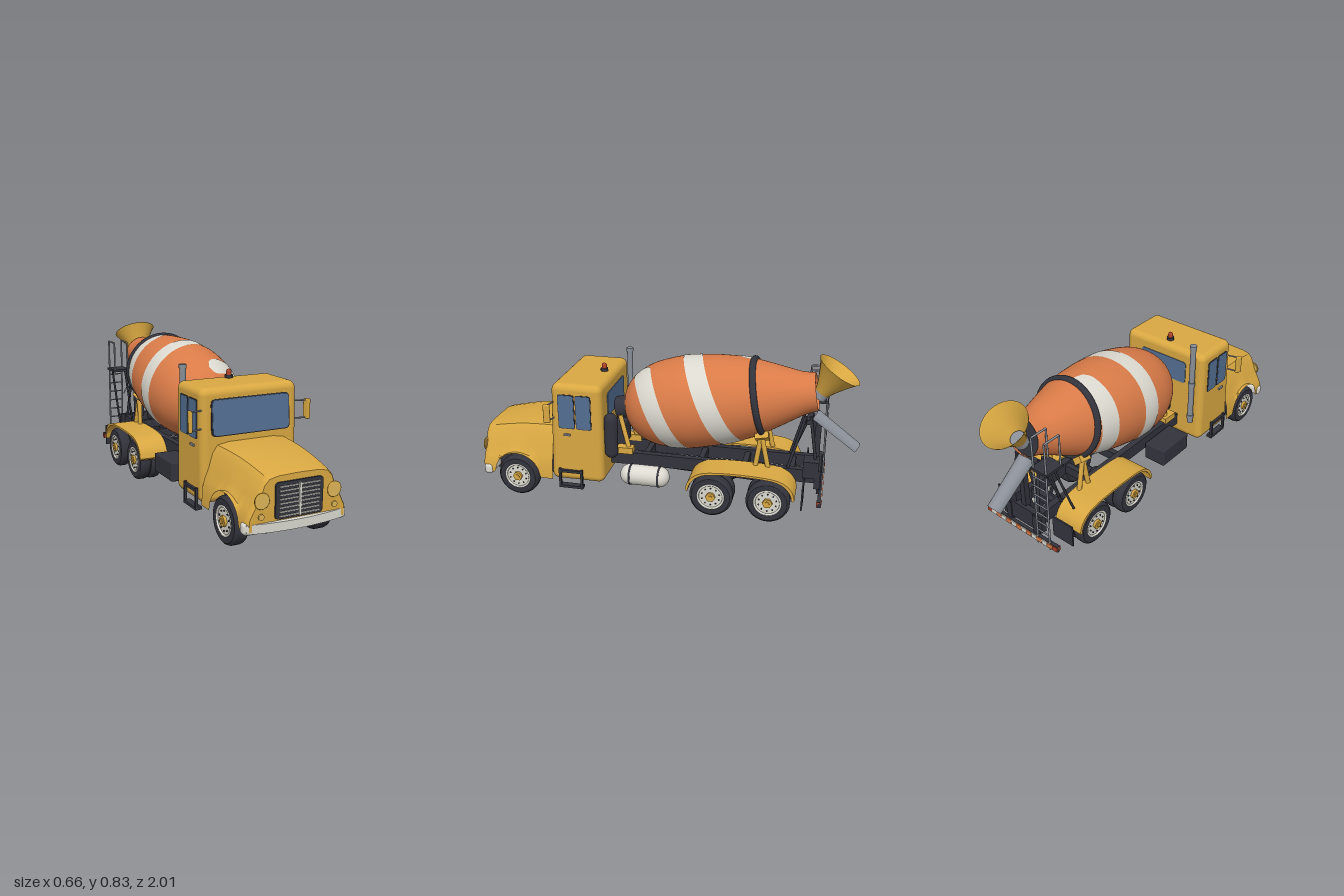
import * as THREE from 'three';
import { toCreasedNormals } from 'three/addons/utils/BufferGeometryUtils.js';
import { RoundedBoxGeometry } from 'three/addons/geometries/RoundedBoxGeometry.js';

const mat = (name, color, side = THREE.FrontSide) => {
  const m = new THREE.MeshStandardMaterial({ color, side });
  m.name = name;
  return m;
};

export function createModel() {
  const root = new THREE.Group();
  root.name = 'mixerTruck';
  const yellow = mat('yellow paint', 0xd9a842, THREE.DoubleSide);
  const orange = mat('orange drum', 0xd97b48, THREE.DoubleSide);
  const white = mat('off white', 0xdcdad0);
  const dark = mat('dark metal', 0x33333d);
  const glass = mat('blue glass', 0x536f92);
  const grey = mat('grey steel', 0x8a8f98, THREE.DoubleSide);
  const red = mat('red lamp', 0xb0452c);
  const lamp = mat('pale yellow lamp', 0xdfb658);

  const add = (name, geo, material, p = [0, 0, 0], r = [0, 0, 0], parent = root) => {
    const m = new THREE.Mesh(geo, material);
    m.name = name;
    m.position.set(...p);
    m.rotation.set(...r);
    parent.add(m);
    return m;
  };
  const box = (name, size, material, p, r, round = 0) =>
    add(name, round ? new RoundedBoxGeometry(...size, 3, round) : new THREE.BoxGeometry(...size), material, p, r);
  const cyl = (r, h, n = 24) => new THREE.CylinderGeometry(r, r, h, n);
  // Round bar between two points
  const bar = (name, a, b, r, material) => {
    const A = new THREE.Vector3(...a), d = new THREE.Vector3(...b).sub(A);
    const m = add(name, cyl(r, d.length(), 10), material, A.clone().addScaledVector(d, 0.5).toArray());
    m.quaternion.setFromUnitVectors(new THREE.Vector3(0, 1, 0), d.normalize());
  };
  // Thin plate with rounded corners, facing +z
  const plate = (w, h, r, depth = 0.006) => {
    const s = new THREE.Shape(), x = w / 2, y = h / 2;
    s.moveTo(-x + r, -y).lineTo(x - r, -y).quadraticCurveTo(x, -y, x, -y + r).lineTo(x, y - r);
    s.quadraticCurveTo(x, y, x - r, y).lineTo(-x + r, y).quadraticCurveTo(-x, y, -x, y - r);
    s.lineTo(-x, -y + r).quadraticCurveTo(-x, -y, -x + r, -y);
    return new THREE.ExtrudeGeometry(s, { depth, bevelEnabled: false, curveSegments: 6 });
  };

  // Cab with a slightly raked upper front
  const cab = new RoundedBoxGeometry(0.52, 0.545, 0.29, 4, 0.035);
  const cp = cab.attributes.position;
  for (let i = 0; i < cp.count; i++)
    if (cp.getZ(i) > 0 && cp.getY(i) > 0) cp.setZ(i, cp.getZ(i) - cp.getY(i) * 0.08);
  add('cab', cab, yellow, [0, 0.3925, 0.432]);
  add('windscreenSeal', plate(0.422, 0.176, 0.025), dark, [0, 0.527, 0.5615], [-0.08, 0, 0]);
  add('windscreen', plate(0.41, 0.165, 0.022), glass, [0, 0.527, 0.5645], [-0.08, 0, 0]);
  add('rearWindow', plate(0.3, 0.13, 0.02), glass, [0, 0.53, 0.289], [0, Math.PI, 0]);
  add('beaconBase', cyl(0.02, 0.016), dark, [0, 0.672, 0.345]);
  add('beacon', new THREE.CapsuleGeometry(0.0135, 0.015, 6, 16), red, [0, 0.688, 0.345]);

  // Hood and front fenders: cross-sections blended from cab to nose, with wheel arches
  const back = [[0, .41], [.12, .41], [.18, .4], [.205, .365], [.225, .3], [.245, .25], [.26, .2], [.262, .12]];
  const nose = [[0, .365], [.11, .362], [.155, .352], [.18, .325], [.205, .26], [.235, .21], [.255, .17], [.255, .12]];
  const rings = Array.from({ length: 33 }, (_, i) => [0.57 + i * 0.012, 1]);
  rings.push([0.966, 0.985], [0.974, 0.955]);
  const hv = [], hi = [], W = 15;
  rings.forEach(([z, k], i) => {
    const t = Math.min(1, (z - 0.57) / 0.39), q = 0.132 ** 2 - (z - 0.775) ** 2;
    const floor = q > 0 ? 0.115 + Math.sqrt(q) : 0;
    for (let j = 0; j < W; j++) {
      const n = Math.abs(7 - j), s = j < 7 ? 1 : -1;
      const x = THREE.MathUtils.lerp(back[n][0], nose[n][0], t);
      const y = THREE.MathUtils.lerp(back[n][1], nose[n][1], t) + 0.012 * Math.sin(t * Math.PI) * (n < 4 ? 1 : 0);
      hv.push(s * x * k, Math.max(floor, 0.24 + (y - 0.24) * k), z);
      const a = i * W + j;
      if (i && j) hi.push(a - W - 1, a - W, a - 1, a - W, a, a - 1);
    }
  });
  const last = (rings.length - 1) * W;
  hv.push(0, 0.24, 0.977);
  for (let j = 0; j < W; j++) hi.push(last + W, last + j, last + (j + 1) % W);
  const hood = new THREE.BufferGeometry();
  hood.setAttribute('position', new THREE.Float32BufferAttribute(hv, 3));
  hood.setIndex(hi);
  add('hood', toCreasedNormals(hood, 0.6), yellow);
  box('engineBay', [0.3, 0.16, 0.37], dark, [0, 0.18, 0.77]);

  // Grille, headlamps and bumper
  add('grille', plate(0.242, 0.165, 0.018, 0.009), dark, [0, 0.247, 0.974]);
  for (let i = 0; i < 8; i++) box('grilleBar', [0.205, 0.006, 0.008], white, [0, 0.178 + i * 0.0188, 0.985]);
  box('grilleCentreBar', [0.011, 0.148, 0.009], white, [0, 0.245, 0.987]);
  const bumper = new RoundedBoxGeometry(0.53, 0.06, 0.05, 4, 0.02);
  const split = new THREE.BoxGeometry(0.53, 0.06, 0.05, 16, 3, 3);
  for (const g of [bumper, split]) {
    const p = g.attributes.position;
    for (let i = 0; i < p.count; i++) p.setZ(i, p.getZ(i) - p.getX(i) ** 2 * 0.45);
  }
  add('bumper', bumper, white, [0, 0.137, 0.975]);
  split.scale(0.96, 0.7, 0.96);
  add('bumperCore', split, white, [0, 0.137, 0.975]);

  // Wheel facing +x
  const tyrePts = [[.068, -.5], [.1, -.5], [.109, -.4], [.113, -.25], [.113, .25], [.109, .4], [.1, .5], [.068, .5]];
  const wheel = (name, x, z, w, s) => {
    const g = new THREE.Group();
    g.name = name;
    g.position.set(x, 0.113, z);
    g.rotation.z = -s * Math.PI / 2;
    root.add(g);
    const pts = tyrePts.map(([r, h]) => new THREE.Vector2(r, h * w));
    add('tyre', toCreasedNormals(new THREE.LatheGeometry(pts, 36), 0.6), dark, [0, 0, 0], [0, 0, 0], g);
    add('rim', cyl(0.07, w * 0.84, 32), white, [0, 0, 0], [0, 0, 0], g);
    add('rimRing', new THREE.TorusGeometry(0.067, 0.006, 8, 32), white, [0, w * 0.46, 0], [Math.PI / 2, 0, 0], g);
    add('hub', cyl(0.026, 0.02, 6), yellow, [0, w * 0.48, 0], [0, 0, 0], g);
    add('hubCap', cyl(0.012, 0.03, 12), yellow, [0, w * 0.48, 0], [0, 0, 0], g);
    for (let i = 0; i < 10; i++)
      add('wheelBolt', cyl(0.004, 0.01, 6), dark, [0.047 * Math.cos(i * Math.PI / 5), w * 0.42, 0.047 * Math.sin(i * Math.PI / 5)], [0, 0, 0], g);
  };

  // Rear fender band over both axles, drawn in (z, y)
  const arc = new THREE.SplineCurve([[-.155, .15], [-.17, .195], [-.21, .235], [-.28, .256], [-.435, .263], [-.59, .256],
    [-.66, .235], [-.7, .195], [-.715, .15]].map(p => new THREE.Vector2(...p))).getPoints(32);
  const inner = arc.map(p => new THREE.Vector2(-0.435 + (p.x + 0.435) * 0.96, p.y - 0.011)).reverse();
  const fender = new THREE.ExtrudeGeometry(new THREE.Shape([...arc, ...inner]), { depth: 0.165, bevelEnabled: false });

  // Parts that repeat on both sides
  for (const s of [1, -1]) {
    add('headlampRing', new THREE.TorusGeometry(0.033, 0.004, 8, 32), yellow, [s * 0.185, 0.257, 0.977]);
    add('headlamp', cyl(0.033, 0.014, 32), lamp, [s * 0.185, 0.257, 0.974], [Math.PI / 2, 0, 0]);
    add('turnLamp', cyl(0.014, 0.014), lamp, [s * 0.188, 0.187, 0.974], [Math.PI / 2, 0, 0]);
    for (const [z, w] of [[0.475, 0.082], [0.383, 0.076]]) {
      add('sideWindowSeal', plate(w + 0.008, 0.188, 0.014, 0.004), dark, [s * 0.2585, 0.518, z], [0, s * Math.PI / 2, 0]);
      add('sideWindow', plate(w, 0.18, 0.012, 0.006), glass, [s * 0.2585, 0.518, z], [0, s * Math.PI / 2, 0]);
    }
    box('doorHandle', [0.012, 0.01, 0.035], grey, [s * 0.263, 0.39, 0.475]);
    box('mirror', [0.018, 0.1, 0.035], yellow, [s * 0.316, 0.522, 0.56], [0, s * 0.3, 0], 0.006);
    for (const y of [0.478, 0.565]) bar('mirrorArm', [s * 0.25, y, 0.545], [s * 0.312, y, 0.56], 0.004, grey);
    for (const y of [0.09, 0.18]) box('cabStep', [0.035, 0.014, 0.13], dark, [s * 0.257, y, 0.465]);
    for (const z of [0.405, 0.525]) box('stepPost', [0.014, 0.11, 0.012], dark, [s * 0.267, 0.137, z]);
    wheel('frontWheel', s * 0.222, 0.775, 0.072, s);
    for (const z of [-0.287, -0.58])
      for (const x of [0.161, 0.226]) wheel('rearWheel', s * x, z, 0.062, s);
    add('rearFender', toCreasedNormals(fender, 0.6), yellow, [s > 0 ? 0.105 : -0.27, 0, 0], [0, -Math.PI / 2, 0])
      .position.x = s > 0 ? 0.27 : -0.105;
    box('chassisRail', [0.035, 0.07, 1.42], dark, [s * 0.09, 0.212, -0.125]);
    box('mudFlap', [0.13, 0.12, 0.008], dark, [s * 0.19, 0.15, -0.75]);
    // Drum pedestals
    for (const z of [-0.49, -0.56]) bar('rearPedestalLeg', [s * 0.13, 0.24, z - 0.005], [s * 0.12, 0.43, -0.52], 0.013, yellow);
    box('rollerBracket', [0.05, 0.035, 0.07], yellow, [s * 0.12, 0.42, -0.525], [0.2, 0, s * 0.7]);
    bar('frontPedestalLeg', [s * 0.09, 0.24, 0.185], [s * 0.06, 0.44, 0.245], 0.013, yellow);
    box('frontPedestalFoot', [0.05, 0.035, 0.09], yellow, [s * 0.09, 0.257, 0.21]);
    // Rear frame struts and tail lamps
    bar('rearStrut', [s * 0.09, 0.24, -0.66], [s * 0.07, 0.53, -0.735], 0.008, dark);
    bar('rearStrut', [s * 0.09, 0.2, -0.815], [s * 0.07, 0.53, -0.76], 0.008, dark);
    box('tailLamp', [0.03, 0.026, 0.025], red, [s * 0.225, 0.125, -0.835]);
  }

  // Drum in its own tilted frame: local y runs rearward along the axis, local z is up
  const drum = new THREE.Group();
  drum.name = 'drum';
  drum.position.set(0, 0.525, -0.1);
  drum.rotation.x = 0.168 - Math.PI / 2;
  root.add(drum);
  const prof = new THREE.SplineCurve([[0, -.325], [.06, -.32], [.12, -.295], [.18, -.235], [.225, -.135], [.245, 0], [.243, .1],
    [.234, .21], [.207, .355], [.172, .46], [.132, .565], [.11, .625], [.098, .69]].map(p => new THREE.Vector2(...p))).getPoints(72);
  prof[0].x = 0;
  const radius = h => {
    const i = Math.max(1, prof.findIndex(p => p.y >= h)), a = prof[i - 1], b = prof[i];
    return a.x + (b.x - a.x) * (h - a.y) / (b.y - a.y);
  };
  add('drumShell', new THREE.LatheGeometry(prof, 72), orange, [0, 0, 0], [0, 0, 0], drum);
  // Two-turn spiral stripe with rounded ends
  const sv = [], si = [], N = 180, M = 8;
  for (let i = 0; i <= N; i++) {
    const th = i / N * 4 * Math.PI, e = Math.max(0, 1 - Math.min(th, 4 * Math.PI - th) / 0.3);
    const half = 0.05 * Math.sqrt(1 - e * e) + 0.0005;
    for (let j = 0; j <= M; j++) {
      const h = -0.18 + 0.285 * th / (2 * Math.PI) - 0.025 * Math.cos(th) + half * (2 * j / M - 1);
      const r = radius(h) + 0.0025;
      sv.push(r * Math.sin(th), h, r * Math.cos(th));
      const a = i * (M + 1) + j, b = a - M - 1;
      if (i && j) si.push(b - 1, a - 1, b, a - 1, a, b);
    }
  }
  const stripe = new THREE.BufferGeometry();
  stripe.setAttribute('position', new THREE.Float32BufferAttribute(sv, 3));
  stripe.setIndex(si);
  stripe.computeVertexNormals();
  add('spiralStripe', stripe, white, [0, 0, 0], [0, 0, 0], drum);
  add('drumRing', new THREE.TorusGeometry(0.195, 0.017, 12, 64), dark, [0, 0.395, 0], [Math.PI / 2 + 0.03, 0, 0], drum);
  add('drumMouth', cyl(0.1, 0.01, 32), dark, [0, 0.672, 0], [0, 0, 0], drum);
  add('driveMotor', cyl(0.06, 0.07), dark, [0, -0.345, 0], [0, 0, 0], drum);
  box('driveGearbox', [0.12, 0.14, 0.07], dark, [0, 0.33, 0.255], [0, 0, 0], 0.012);

  // Loading hopper and discharge chute
  const cone = [[.038, -.075], [.055, -.035], [.085, .02], [.116, .07], [.121, .073]].map(p => new THREE.Vector2(...p));
  add('hopper', new THREE.LatheGeometry(cone, 40), yellow, [0, 0.702, -0.842], [-0.564, 0, 0]);
  add('hopperThroat', cyl(0.037, 0.05), grey, [0, 0.632, -0.8], [-0.564, 0, 0]);
  add('chute', new THREE.CylinderGeometry(0.04, 0.045, 0.28, 20, 1, true, Math.PI / 2, Math.PI), grey, [0, 0.425, -0.878], [0.935 - Math.PI, Math.PI, 0]);
  box('chuteBracket', [0.16, 0.025, 0.03], dark, [0, 0.5, -0.755]);
  box('chutePost', [0.03, 0.25, 0.03], dark, [0, 0.36, -0.8]);

  // Service ladder, platform and hand rails
  box('platform', [0.1, 0.014, 0.11], dark, [-0.15, 0.545, -0.785]);
  for (const x of [-0.19, -0.11]) {
    bar('ladderRail', [x, 0.1, -0.842], [x, 0.55, -0.832], 0.005, grey);
    bar('platformStrut', [x, 0.24, -0.67], [x, 0.54, -0.78], 0.006, dark);
    for (const z of [-0.738, -0.832]) bar('handRailPost', [x, 0.545, z], [x, 0.715, z], 0.005, grey);
    bar('handRailTop', [x, 0.715, -0.738], [x, 0.715, -0.832], 0.005, grey);
  }
  for (let i = 0; i < 8; i++) bar('ladderRung', [-0.19, 0.13 + i * 0.054, -0.84], [-0.11, 0.13 + i * 0.054, -0.84], 0.004, grey);

  // Rear frame with striped safety bar
  box('rearCrossMember', [0.26, 0.1, 0.03], dark, [0, 0.205, -0.815]);
  box('rearBox', [0.09, 0.09, 0.08], dark, [0.09, 0.26, -0.78]);
  box('rearBar', [0.48, 0.032, 0.018], dark, [0, 0.125, -0.835]);
  for (let i = 0; i < 12; i++) box('safetyBlock', [0.033, 0.026, 0.006], i % 2 ? white : orange, [-0.193 + i * 0.035, 0.125, -0.846]);
  for (const x of [-0.09, 0.09]) box('rearBarHanger', [0.03, 0.08, 0.02], dark, [x, 0.155, -0.825]);
  for (const z of [0.5, 0.1, -0.2, -0.435, -0.68]) box('crossMember', [0.18, 0.05, 0.03], dark, [0, 0.21, z]);

  // Axles and drive shaft
  for (const z of [0.775, -0.287, -0.58]) {
    bar('axle', [-0.2, 0.113, z], [0.2, 0.113, z], 0.02, dark);
    add('differential', new THREE.SphereGeometry(0.043, 20, 14), dark, [0, 0.113, z]);
  }
  bar('driveShaft', [0, 0.16, 0.5], [0, 0.113, -0.58], 0.014, dark);

  // Fuel tank, tool box, air cleaner and exhaust
  add('fuelTank', new THREE.CapsuleGeometry(0.055, 0.18, 6, 28), white, [0.185, 0.16, 0.08], [Math.PI / 2, 0, 0]).scale.y = 0.92;
  for (const z of [0.155, 0.0]) add('tankStrap', cyl(0.057, 0.01, 28), dark, [0.185, 0.16, z], [Math.PI / 2, 0, 0]);
  box('toolBox', [0.13, 0.1, 0.22], dark, [-0.18, 0.17, 0.09], [0, 0, 0], 0.008);
  add('airCleaner', new THREE.CapsuleGeometry(0.035, 0.18, 6, 24), dark, [0.21, 0.385, 0.252]);
  bar('exhaustPipe', [-0.21, 0.25, 0.262], [-0.21, 0.735, 0.262], 0.016, grey);
  for (const y of [0.29, 0.5, 0.725]) add('exhaustCollar', cyl(0.019, 0.02), grey, [-0.21, y, 0.262]);
  return root;
}
